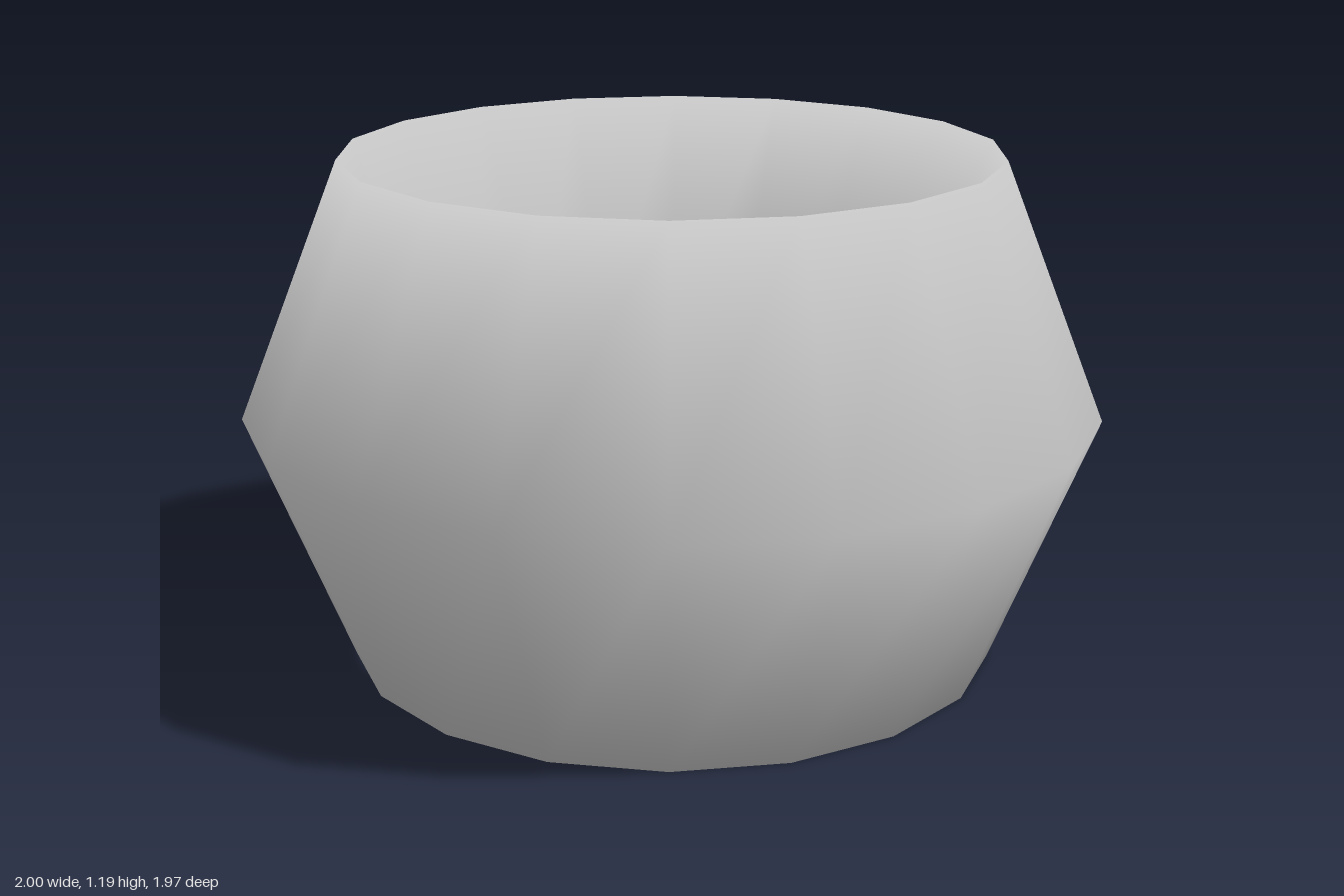
import * as THREE from 'three';

export function createModel() {
  const group = new THREE.Group();
  group.name = 'ring';

  const ringRadius = 0.7625; // centre line of the band
  const halfWidth = 0.2375;  // radial half thickness
  const halfHeight = 0.595;

  // Tall 18-sided ring with a diamond cross-section and smooth normals
  const geometry = new THREE.TorusGeometry(ringRadius, halfWidth, 4, 18);
  geometry.scale(1, 1, halfHeight / halfWidth);
  geometry.rotateX(-Math.PI / 2);
  geometry.translate(0, halfHeight, 0);

  const band = new THREE.Mesh(geometry, new THREE.MeshStandardMaterial({ color: 0xcccccc }));
  band.name = 'ringBand';
  group.add(band);
  return group;
}
